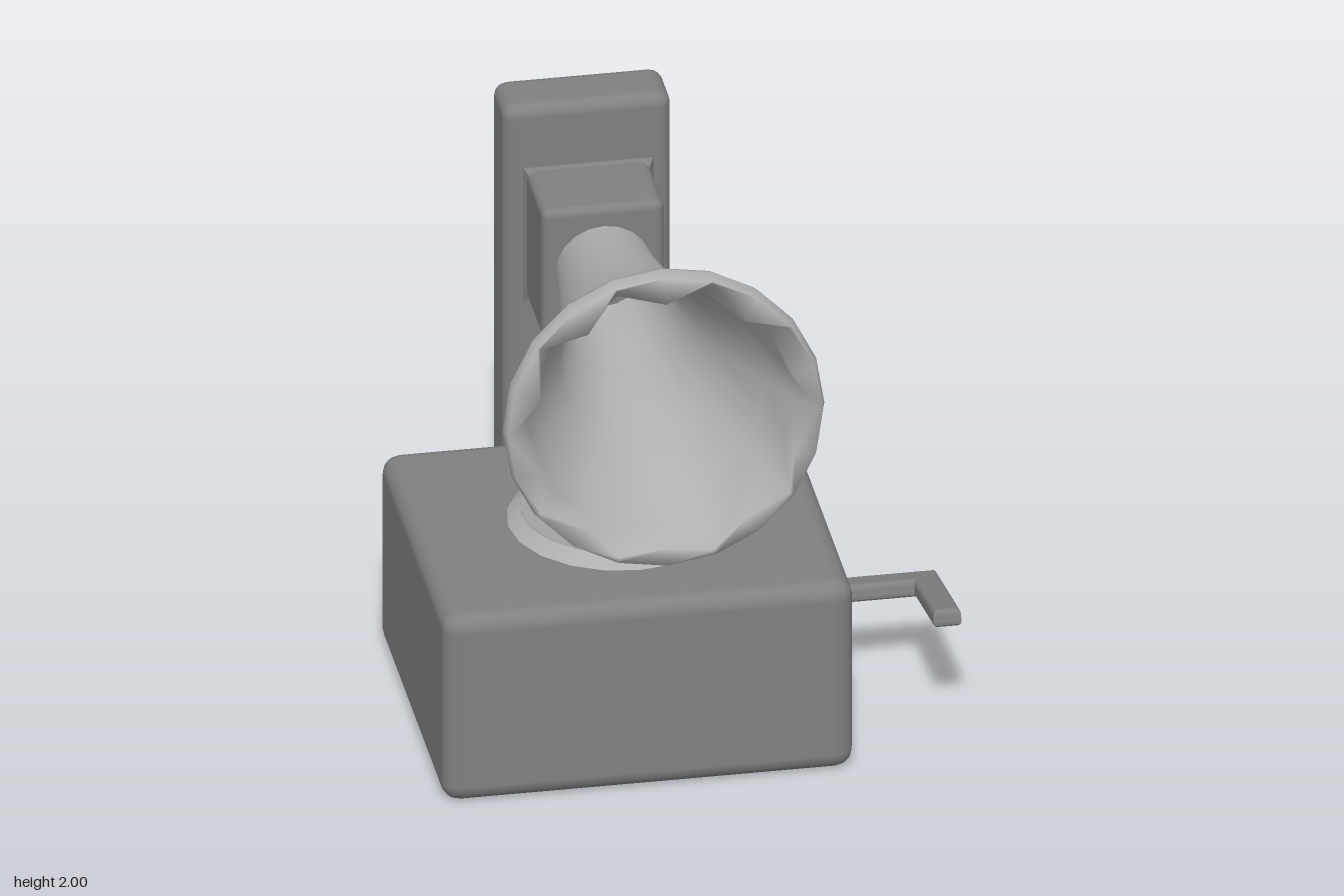
import * as THREE from 'three';
import { RoundedBoxGeometry } from 'three/addons/geometries/RoundedBoxGeometry.js';

const dark = new THREE.MeshStandardMaterial({ color: 0x808080 });
const mid = new THREE.MeshStandardMaterial({ color: 0xa2a2a2 });
const light = new THREE.MeshStandardMaterial({ color: 0xb0b0b0, side: THREE.DoubleSide });
const AXIS_X = -0.182; // shared centre line of horn, column and turntable

function add(parent, name, geometry, material = dark) {
  const mesh = new THREE.Mesh(geometry, material);
  mesh.name = name;
  parent.add(mesh);
  return mesh;
}

// Rounded box given by its limits on each axis
function block(parent, name, [x0, x1], [y0, y1], [z0, z1], radius) {
  const geometry = new RoundedBoxGeometry(x1 - x0, y1 - y0, z1 - z0, 2, radius);
  geometry.translate((x0 + x1) / 2, (y0 + y1) / 2, (z0 + z1) / 2);
  return add(parent, name, geometry);
}

// Horn skin: rings of [z, centre y, radius, tilt, scallop], outside to inside
function hornGeometry() {
  const sides = 20;
  const rings = [
    [-0.34, 1.432, 0.157, 0, 0],
    [-0.2, 1.435, 0.171, 0, 0],
    [0.05, 1.447, 0.212, 0, 0],
    [0.32, 1.462, 0.283, 0.005, 0],
    [0.565, 1.47, 0.392, 0.015, 0],
    [0.715, 1.475, 0.515, 0.025, 0],
    [0.74, 1.475, 0.524, 0.025, 0],
    [0.78, 1.475, 0.513, 0.022, 0],
    [0.79, 1.475, 0.467, 0.022, 0.033],
    [0.7, 1.475, 0.43, 0.02, 0.01],
    [0.55, 1.47, 0.365, 0.01, 0],
    [0.32, 1.462, 0.262, 0, 0],
    [0.05, 1.447, 0.192, 0, 0],
    [-0.34, 1.432, 0.135, 0, 0],
  ];
  const positions = [];
  const index = [];
  rings.forEach(([z, cy, r, tilt, scallop], i) => {
    for (let j = 0; j < sides; j++) {
      const a = (j / sides) * Math.PI * 2;
      const wave = j % 2 ? -1 : 1;
      const rr = r + scallop * wave;
      positions.push(AXIS_X + rr * Math.cos(a), cy + rr * Math.sin(a),
        z - tilt * Math.sin(a) - scallop * 0.6 * wave);
      if (i === 0) continue;
      const k = (j + 1) % sides;
      const a0 = (i - 1) * sides + j, b0 = (i - 1) * sides + k;
      const a1 = i * sides + j, b1 = i * sides + k;
      index.push(a0, b0, b1, a0, b1, a1);
    }
  });
  const geometry = new THREE.BufferGeometry();
  geometry.setAttribute('position', new THREE.Float32BufferAttribute(positions, 3));
  geometry.setIndex(index);
  geometry.computeVertexNormals();
  return geometry;
}

// Sloped skirt where the horn mount meets the column
function mountSkirt() {
  const shape = new THREE.Shape();
  shape.moveTo(-0.375, 1.2).lineTo(0.015, 1.2).lineTo(0.015, 1.65).lineTo(-0.375, 1.65).closePath();
  const geometry = new THREE.ExtrudeGeometry(shape, {
    depth: 0.03, bevelThickness: 0.035, bevelSize: 0.02, bevelSegments: 1,
  });
  geometry.translate(0, 0, -0.65);
  return geometry;
}

// L-shaped crank bar, lying flat and tilted about x
function crankBar() {
  const outline = [[0.52, 0], [0.86, 0], [0.86, -0.455], [0.77, -0.455], [0.77, -0.105], [0.52, -0.105]];
  const inset = 0.017;
  const shape = new THREE.Shape();
  // pull the outline in by the bevel so the finished bar keeps its size
  const sx = [1, -1, -1, 1, 1, 1], sy = [-1, -1, 1, 1, 1, 1];
  outline.forEach(([x, y], i) => {
    const p = [x + sx[i] * inset, y + sy[i] * inset];
    if (i) shape.lineTo(...p);
    else shape.moveTo(...p);
  });
  shape.closePath();
  const geometry = new THREE.ExtrudeGeometry(shape, {
    depth: 0.026, bevelThickness: inset, bevelSize: inset, bevelSegments: 3,
  });
  geometry.translate(0, 0, -0.013);
  geometry.rotateX(-Math.PI / 2 - 0.21);
  geometry.translate(0, 0.326, -0.1);
  return geometry;
}

export function createModel() {
  const model = new THREE.Group();
  model.name = 'gramophone';

  // Cabinet and rear column
  block(model, 'cabinet', [-0.86, 0.48], [0, 0.68], [-0.62, 0.533], 0.06);
  block(model, 'column', [-0.457, 0.093], [0.308, 1.89], [-0.825, -0.615], 0.045);

  // Turntable with a record on top
  const turntable = new THREE.CylinderGeometry(0.32, 0.375, 0.05, 20);
  turntable.translate(AXIS_X, 0.694, -0.05);
  add(model, 'turntable', turntable, light);
  const record = new THREE.CylinderGeometry(0.319, 0.32, 0.004, 20);
  record.translate(AXIS_X, 0.719, -0.05);
  add(model, 'record', record, mid);

  // Horn and its mount
  block(model, 'hornMount', [-0.382, 0.018], [1.19, 1.66], [-0.7, -0.33], 0.03);
  add(model, 'mountSkirt', mountSkirt());
  add(model, 'horn', hornGeometry(), light);

  // Tone arm
  const toneArm = new THREE.Group();
  toneArm.name = 'toneArm';
  model.add(toneArm);
  block(toneArm, 'armBracket', [-0.287, -0.077], [0.877, 1.24], [-0.55, -0.39], 0.025);
  const from = new THREE.Vector3(AXIS_X, 0.99, -0.42);
  const to = new THREE.Vector3(AXIS_X, 0.837, -0.06);
  const arm = add(toneArm, 'armBar',
    new RoundedBoxGeometry(0.075, 0.06, from.distanceTo(to), 2, 0.012));
  arm.position.copy(from).lerp(to, 0.5);
  arm.lookAt(to);
  block(toneArm, 'soundBox', [-0.232, -0.132], [0.8, 0.89], [-0.09, 0.13], 0.018);

  // Crank on the left side
  const crank = new THREE.Group();
  crank.name = 'crank';
  model.add(crank);
  const plate = new THREE.BoxGeometry(0.09, 0.12, 0.205);
  plate.translate(0.505, 0.34, -0.045);
  add(crank, 'crankPlate', plate);
  add(crank, 'crankHandle', crankBar());

  return model;
}
